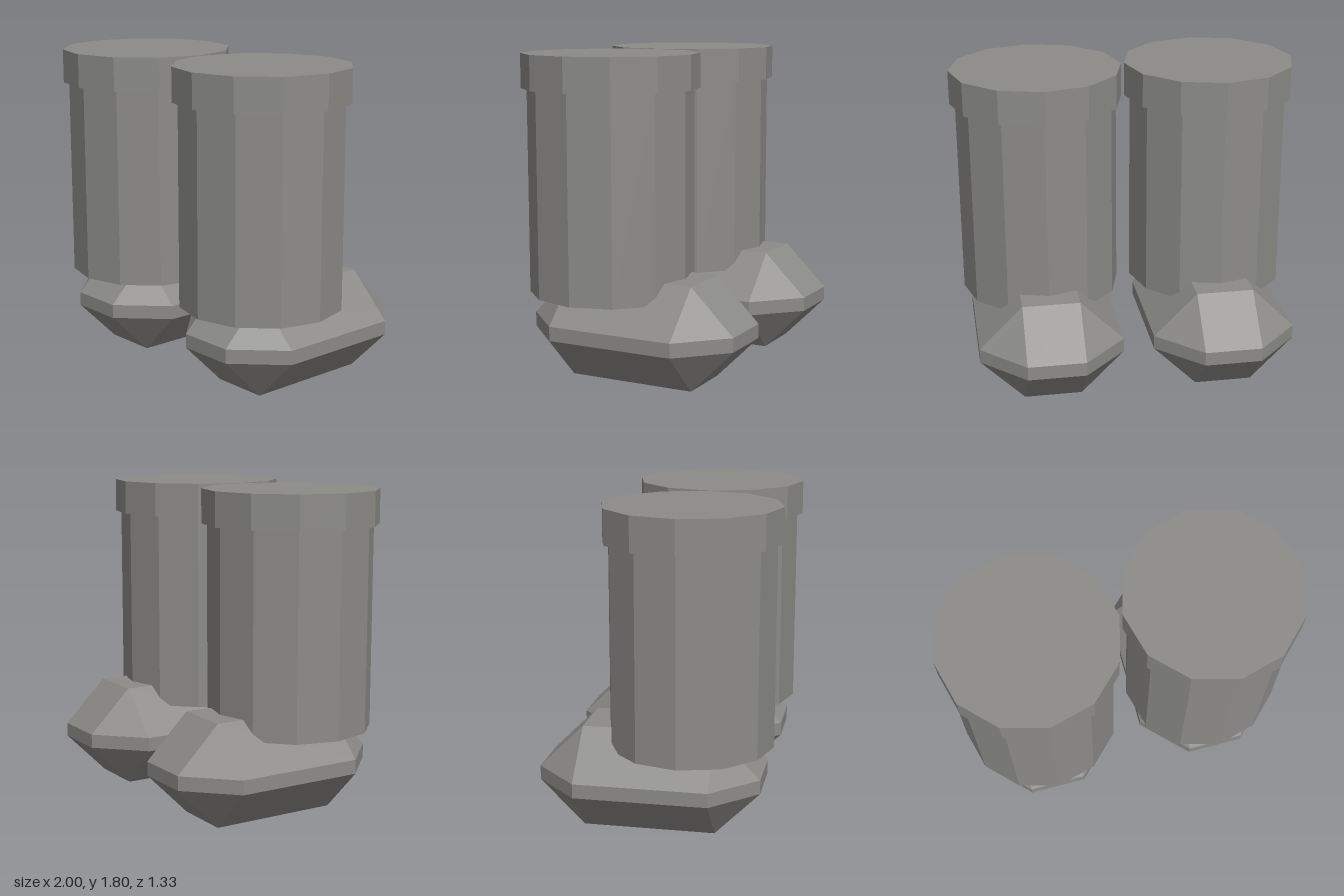
import * as THREE from 'three';
import { ConvexGeometry } from 'three/addons/geometries/ConvexGeometry.js';

const grey = new THREE.MeshStandardMaterial({ color: 0x8c8b88, flatShading: true });
grey.name = 'warm grey';

// Box with all edges bevelled: hull of the corners of its six flat faces
function bevelledBox(w, h, d, bevel) {
  const points = [];
  for (const sx of [-1, 1]) for (const sy of [-1, 1]) for (const sz of [-1, 1]) {
    const x = w / 2, y = h / 2, z = d / 2;
    points.push(
      new THREE.Vector3(sx * x, sy * (y - bevel), sz * (z - bevel)),
      new THREE.Vector3(sx * (x - bevel), sy * y, sz * (z - bevel)),
      new THREE.Vector3(sx * (x - bevel), sy * (y - bevel), sz * z)
    );
  }
  return new ConvexGeometry(points);
}

// Twelve-sided upright drum between two heights
function drum(radius, bottom, top) {
  return new THREE.CylinderGeometry(radius, radius, top - bottom, 12)
    .translate(0, (bottom + top) / 2, 0.167);
}

function part(name, geometry) {
  const mesh = new THREE.Mesh(geometry, grey);
  mesh.name = name;
  return mesh;
}

export function createModel() {
  const model = new THREE.Group();
  model.name = 'pairOfBoots';
  for (const side of [-1, 1]) {
    const boot = new THREE.Group();
    boot.name = side > 0 ? 'leftBoot' : 'rightBoot';
    // Bevelled foot, toe towards the back
    boot.add(part('foot', bevelledBox(0.83, 0.58, 1.24, 0.25).translate(0, 0.29, -0.043)));
    // Leg shaft and wider cuff
    boot.add(part('shaft', drum(0.463, 0.468, 1.63)));
    boot.add(part('cuff', drum(0.495, 1.61, 1.803)));
    boot.position.x = side * 0.503;
    model.add(boot);
  }
  return model;
}
